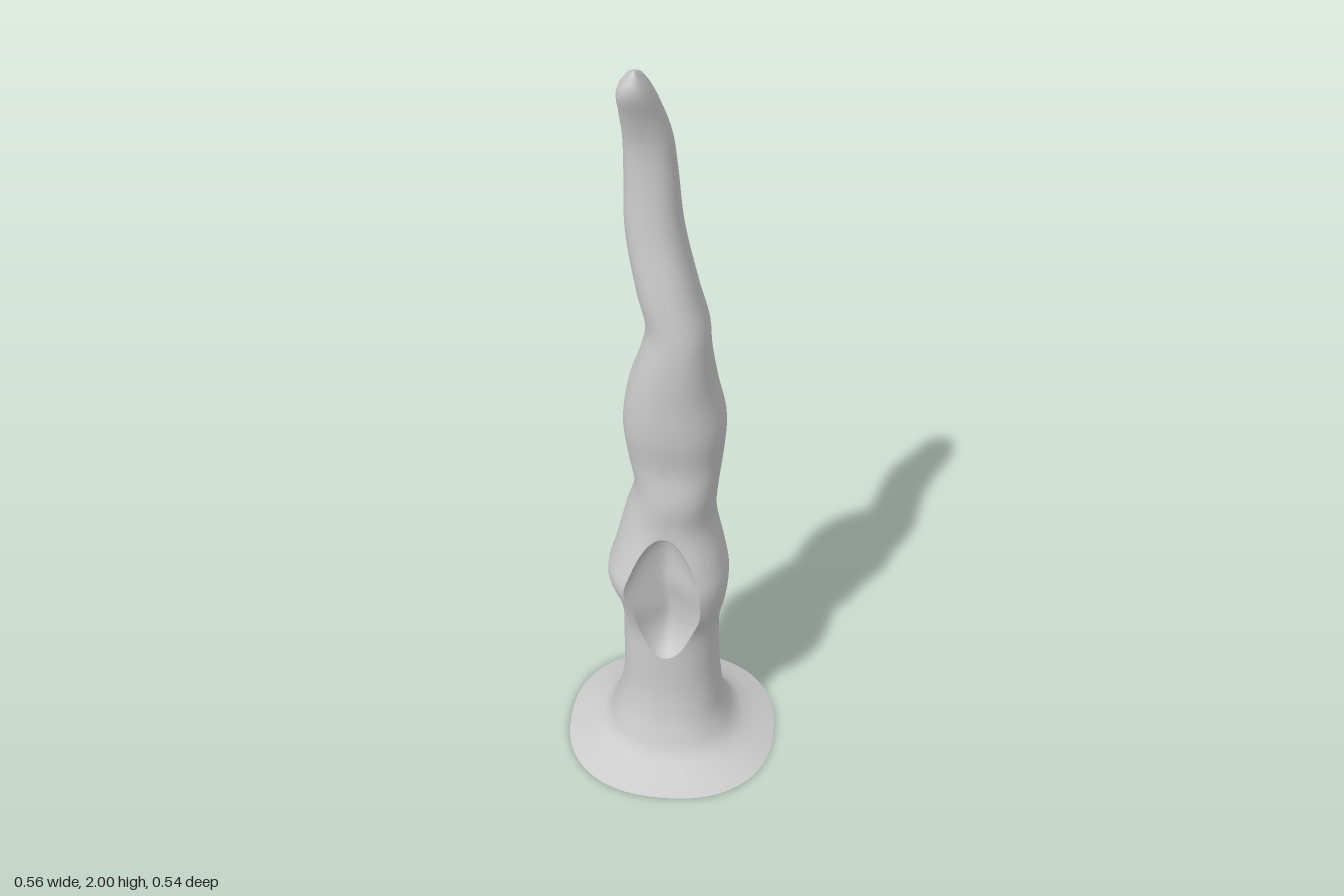
import * as THREE from 'three';

// Trunk cross-sections: height, then x and z extents
const SECTIONS = [
  [0, -0.28, 0.28, -0.27, 0.27], [0.035, -0.195, 0.2, -0.19, 0.19],
  [0.1, -0.155, 0.15, -0.15, 0.15], [0.2, -0.13, 0.13, -0.135, 0.125],
  [0.35, -0.125, 0.122, -0.128, 0.12], [0.44, -0.125, 0.125, -0.13, 0.125],
  [0.52, -0.135, 0.14, -0.14, 0.152], [0.6, -0.16, 0.145, -0.135, 0.165],
  [0.66, -0.145, 0.135, -0.125, 0.152], [0.78, -0.115, 0.11, -0.118, 0.125],
  [0.88, -0.09, 0.115, -0.115, 0.13], [0.97, -0.105, 0.125, -0.115, 0.122],
  [1.07, -0.115, 0.13, -0.115, 0.135], [1.18, -0.1, 0.11, -0.09, 0.14],
  [1.3, -0.065, 0.095, -0.045, 0.143], [1.36, -0.055, 0.09, -0.045, 0.14],
  [1.45, -0.075, 0.065, -0.045, 0.13], [1.6, -0.1, 0.03, -0.042, 0.105],
  [1.75, -0.1, 0.015, -0.02, 0.095], [1.83, -0.1, 0.005, -0.005, 0.1],
  [1.9, -0.105, -0.015, 0.015, 0.12], [1.95, -0.105, -0.032, 0.04, 0.14],
  [1.98, -0.088, -0.048, 0.065, 0.14], [2, -0.068, -0.062, 0.112, 0.122],
];
const extents = new THREE.CubicInterpolant(
  SECTIONS.map((s) => s[0]), SECTIONS.flatMap((s) => s.slice(1)), 4, []);

// Point on the trunk at angle a (0 = front, positive towards +x) and height y
function surfacePoint(a, y, scale = 1) {
  const [x0, x1, z0, z1] = extents.evaluate(y);
  const s = Math.sin(a), c = Math.cos(a), p = 2.3;
  const r = scale / Math.pow(Math.abs(s) ** p + Math.abs(c) ** p, 1 / p);
  return [(x0 + x1) / 2 + r * s * (x1 - x0) / 2, y, (z0 + z1) / 2 + r * c * (z1 - z0) / 2];
}

// Oval opening of the hollow in (angle, height) space
const HOLE = { a: -0.05, y: 0.57, ra: 0.65, ry: 0.205 };

function makeGeometry(positions, indices) {
  const g = new THREE.BufferGeometry();
  g.setAttribute('position', new THREE.Float32BufferAttribute(positions, 3));
  g.setIndex(indices);
  g.computeVertexNormals();
  return g;
}

// Skin with grid points near the opening snapped onto its rim
function trunkGeometry() {
  const N = 96, ROWS = 100, pos = [], idx = [], dist = [];
  for (let j = 0; j <= ROWS; j++) {
    for (let i = 0; i < N; i++) {
      let a = -Math.PI + (i / N) * Math.PI * 2, y = (j / ROWS) * 2;
      const u = (a - HOLE.a) / HOLE.ra, v = (y - HOLE.y) / HOLE.ry;
      let d = Math.hypot(u, v);
      if (Math.abs(d - 1) < 0.1) {
        a = HOLE.a + (u / d) * HOLE.ra;
        y = HOLE.y + (v / d) * HOLE.ry;
        d = 1;
      }
      dist.push(d);
      pos.push(...surfacePoint(a, y));
    }
  }
  for (let j = 0; j < ROWS; j++) {
    for (let i = 0; i < N; i++) {
      const k = (i + 1) % N;
      const A = j * N + i, B = j * N + k, C = B + N, D = A + N;
      for (const t of [[A, B, C], [A, C, D]]) {
        if (t.some((n) => dist[n] > 1)) idx.push(...t);
      }
    }
  }
  // closed tip
  const tip = pos.length / 3, top = ROWS * N;
  pos.push(-0.065, 2, 0.117);
  for (let i = 0; i < N; i++) idx.push(top + i, top + ((i + 1) % N), tip);
  return makeGeometry(pos, idx);
}

// Bowl sunk into the trunk behind the opening
function hollowGeometry() {
  const N = 64, RINGS = 12, pos = [], idx = [];
  for (let j = 0; j <= RINGS; j++) {
    const r = Math.sin((j / RINGS) * Math.PI / 2);
    const scale = 1 - 0.6 * Math.sqrt(Math.max(0, 1 - r * r));
    for (let i = 0; i < N; i++) {
      const t = (i / N) * Math.PI * 2;
      pos.push(...surfacePoint(HOLE.a + HOLE.ra * r * Math.cos(t),
        HOLE.y + HOLE.ry * r * Math.sin(t), scale));
    }
  }
  for (let j = 0; j < RINGS; j++) {
    for (let i = 0; i < N; i++) {
      const k = (i + 1) % N;
      const A = j * N + i, B = j * N + k, C = B + N, D = A + N;
      idx.push(A, D, C, A, C, B);
    }
  }
  return makeGeometry(pos, idx);
}

// Flat underside
function undersideGeometry() {
  const N = 96, pos = [0, 0, 0], idx = [];
  for (let i = 0; i < N; i++) {
    pos.push(...surfacePoint(-Math.PI + (i / N) * Math.PI * 2, 0));
    idx.push(0, 1 + ((i + 1) % N), 1 + i);
  }
  return makeGeometry(pos, idx);
}

export function createModel() {
  const group = new THREE.Group();
  group.name = 'hollowTrunk';
  const material = new THREE.MeshStandardMaterial({ color: 0xcccccc });
  const inner = new THREE.MeshStandardMaterial({ color: 0xcccccc, side: THREE.DoubleSide });
  const add = (name, geometry, mat) => {
    const mesh = new THREE.Mesh(geometry, mat);
    mesh.name = name;
    group.add(mesh);
  };
  add('trunk', trunkGeometry(), material);
  add('hollow', hollowGeometry(), inner);
  add('underside', undersideGeometry(), material);
  return group;
}
